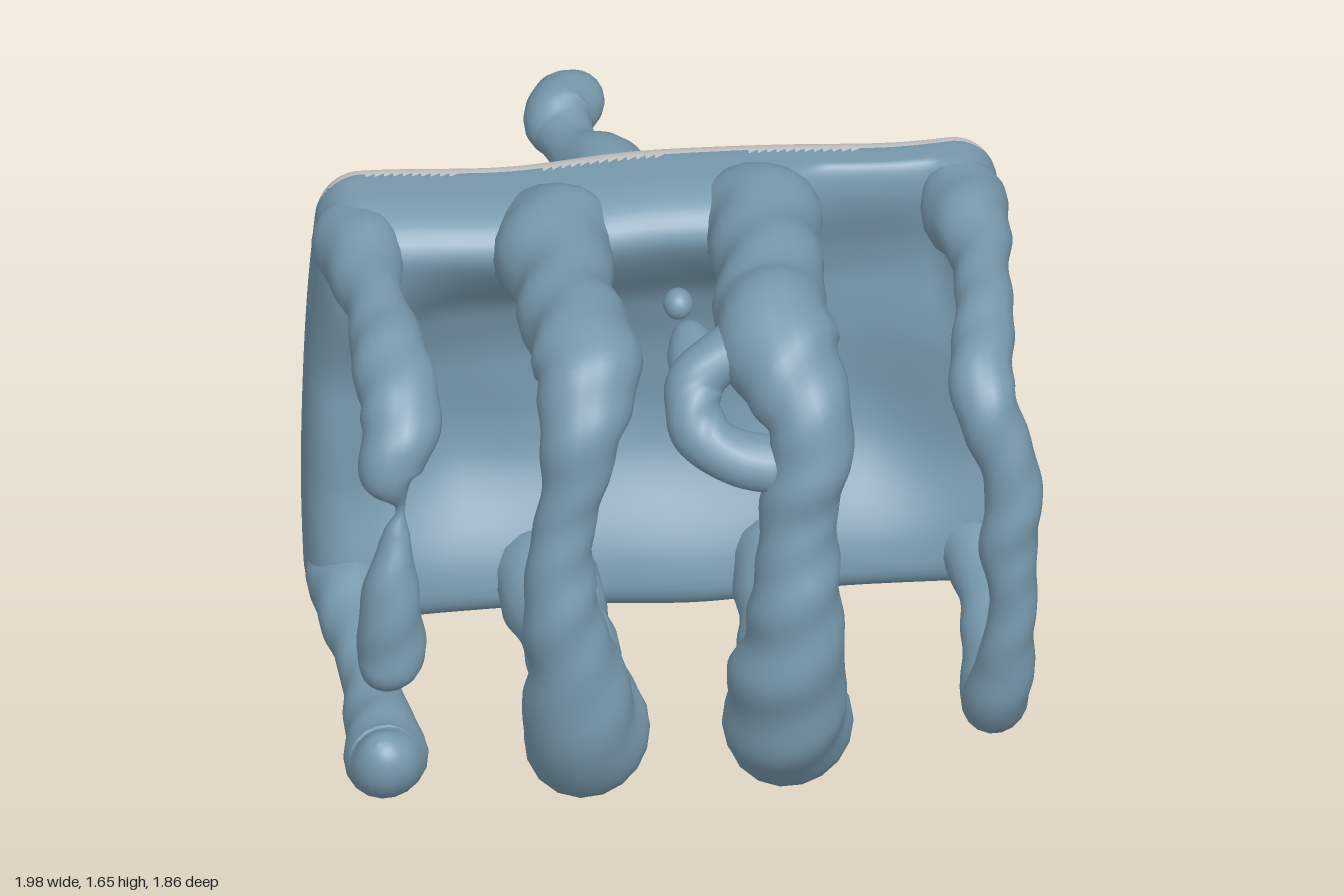
import * as THREE from 'three';
import { mergeVertices } from 'three/addons/utils/BufferGeometryUtils.js';

const { clamp, smoothstep } = THREE.MathUtils;
const blue = new THREE.MeshStandardMaterial({ color: 0x7799ac });
const grey = new THREE.MeshStandardMaterial({ color: 0xcccccc });

// Gentle lumps, so surfaces look hand-modelled
const lump = (p, a) => 1 + 0.035 * Math.sin(p.x * 17 + p.y * 21 + p.z * 19 + a) + 0.035 * Math.sin(p.y * 33 - p.z * 29 + 2 * a);

// Round-ended limb through rows of [x, y, z, radius]
function limb(name, rows, ref = new THREE.Vector3(1, 0, 0)) {
  const path = new THREE.CatmullRomCurve3(rows.map(([x, y, z]) => new THREE.Vector3(x, y, z)));
  const size = new THREE.CatmullRomCurve3(rows.map((r, i) => new THREE.Vector3(r[3], i, 0)));
  const n = rows.length * 14, sides = 18, pos = [], index = [];
  const first = path.getPoint(0), last = path.getPoint(1);
  for (let i = 0; i <= n; i++) {
    // denser rings towards both ends
    const u = i / n, t = 0.6 * u + 0.4 * (0.5 - 0.5 * Math.cos(Math.PI * u));
    const p = path.getPoint(t), T = path.getTangent(t);
    const S = ref.clone().addScaledVector(T, -ref.dot(T)).normalize();
    const U = T.clone().cross(S);
    const r = Math.max(size.getPoint(t).x, 0.008);
    const e = Math.min(1, Math.min(p.distanceTo(first), p.distanceTo(last)) / r);
    const round = Math.sqrt(1 - (1 - e) ** 2);
    for (let j = 0; j < sides; j++) {
      const a = j / sides * Math.PI * 2;
      const k = r * round * lump(p, a);
      const v = p.clone().addScaledVector(S, k * Math.cos(a)).addScaledVector(U, k * Math.sin(a));
      pos.push(v.x, v.y, v.z);
      if (i < n) {
        const b = i * sides, c = b + sides, j2 = (j + 1) % sides;
        index.push(b + j, b + j2, c + j2, b + j, c + j2, c + j);
      }
    }
  }
  const g = new THREE.BufferGeometry();
  g.setAttribute('position', new THREE.Float32BufferAttribute(pos, 3));
  g.setIndex(index);
  g.computeVertexNormals();
  const mesh = new THREE.Mesh(g, blue);
  mesh.name = name;
  return mesh;
}

// Soft-edged panel with a shallow bowl at the front and a swollen lower back
function panel() {
  const W = 0.96, H = 0.7, D = 0.15, R = 0.12;
  let g = new THREE.BoxGeometry(2 * W, 2 * H, 2 * D, 72, 52, 16);
  g.deleteAttribute('uv');
  g.deleteAttribute('normal');
  g = mergeVertices(g);
  const p = g.attributes.position, v = new THREE.Vector3(), c = new THREE.Vector3();
  for (let i = 0; i < p.count; i++) {
    v.fromBufferAttribute(p, i);
    c.set(clamp(v.x, R - W, W - R), clamp(v.y, R - H, H - R), clamp(v.z, R - D, D - R));
    v.sub(c).setLength(R).add(c);
    const xn = v.x / W, yn = v.y / H, across = 1 - xn * xn;
    if (v.z > 0) {
      const bowl = smoothstep(1 - Math.abs(xn), 0.02, 0.45)
        * smoothstep(1 - yn, 0.12, 0.6) * smoothstep(1 + yn, 0.05, 0.9);
      const notch = smoothstep(xn, 0.3, 0.5) * (1 - smoothstep(xn, 0.8, 0.95));
      const topLip = smoothstep(yn, 0.1, 0.65) * (0.08 - 0.18 * notch);
      const bottomLip = 0.05 * smoothstep(-yn, 0.3, 0.75);
      v.z += (v.z / D) * (topLip + bottomLip - bowl * (0.15 - 0.08 * notch * smoothstep(yn, 0.1, 0.65)));
    } else {
      const swell = 0.03 * (1 - yn ** 4) + 0.075 * Math.exp(-(((yn + 0.62) / 0.33) ** 2));
      v.z += (v.z / D) * across * (0.012 + swell);
    }
    v.x *= 1.03 - 0.02 * yn - 0.03 * yn * yn;
    v.y += 0.012 * Math.sin(v.x * 6 + 1) * yn;
    v.z += 0.004 * Math.sin(v.x * 11 + v.y * 9);
    p.setXYZ(i, v.x, v.y + 0.82, v.z - 0.278);
  }
  g.computeVertexNormals();
  // Divide into a blue front shell and a grey back face that laps over the top
  const ix = g.index.array, front = [], back = [];
  for (let i = 0; i < ix.length; i += 3) {
    const tri = [ix[i], ix[i + 1], ix[i + 2]];
    const z = tri.reduce((s, k) => s + p.getZ(k) / 3, 0);
    const limit = p.getY(tri[0]) > 1.44 ? -0.33 : -0.405;
    (z < limit ? back : front).push(...tri);
  }
  const group = new THREE.Group();
  group.name = 'panel';
  for (const [name, list, mat] of [['panelFront', front, blue], ['panelBack', back, grey]]) {
    const part = g.clone();
    part.clearGroups();
    part.setIndex(list);
    const mesh = new THREE.Mesh(part, mat);
    mesh.name = name;
    group.add(mesh);
  }
  return group;
}

function blob(name, x, y, z, rx, ry, rz) {
  const mesh = new THREE.Mesh(new THREE.SphereGeometry(1, 18, 12), blue);
  mesh.name = name;
  mesh.position.set(x, y, z);
  mesh.scale.set(rx, ry, rz);
  return mesh;
}

export function createModel() {
  const model = new THREE.Group();
  model.add(panel());

  // Thin outer loop on the left
  model.add(limb('leftOuterLoop', [
    [0.84, 1.4, -0.33, 0.1], [0.85, 1.41, -0.12, 0.12], [0.86, 1.44, 0.15, 0.08], [0.83, 1.44, 0.48, 0.085],
    [0.81, 1.37, 0.67, 0.09], [0.88, 1.12, 0.74, 0.08], [0.87, 0.88, 0.76, 0.08], [0.88, 0.72, 0.77, 0.065],
    [0.86, 0.5, 0.75, 0.08], [0.84, 0.32, 0.67, 0.095], [0.85, 0.24, 0.45, 0.08], [0.88, 0.24, 0.1, 0.075],
    [0.88, 0.27, -0.13, 0.11], [0.86, 0.28, -0.32, 0.1]]));

  // Thick inner loops
  model.add(limb('leftInnerLoop', [
    [0.27, 1.38, -0.32, 0.13], [0.27, 1.42, -0.14, 0.17], [0.27, 1.46, 0.1, 0.15], [0.25, 1.48, 0.35, 0.155],
    [0.25, 1.47, 0.55, 0.165], [0.32, 1.32, 0.71, 0.12], [0.28, 1.03, 0.76, 0.11], [0.27, 0.72, 0.79, 0.135],
    [0.25, 0.42, 0.72, 0.17], [0.27, 0.22, 0.59, 0.175], [0.28, 0.16, 0.38, 0.15], [0.32, 0.21, 0.1, 0.13],
    [0.34, 0.26, -0.12, 0.15], [0.35, 0.3, -0.3, 0.13]]));
  model.add(limb('rightInnerLoop', [
    [-0.31, 1.36, -0.32, 0.13], [-0.31, 1.39, -0.13, 0.18], [-0.31, 1.43, 0.1, 0.14], [-0.3, 1.45, 0.35, 0.145],
    [-0.28, 1.46, 0.55, 0.15], [-0.32, 1.33, 0.7, 0.115], [-0.36, 1.12, 0.74, 0.085], [-0.39, 0.88, 0.77, 0.1],
    [-0.35, 0.6, 0.76, 0.13], [-0.31, 0.32, 0.68, 0.175], [-0.27, 0.19, 0.5, 0.165], [-0.27, 0.18, 0.32, 0.14],
    [-0.3, 0.22, 0.08, 0.13], [-0.32, 0.26, -0.12, 0.15], [-0.32, 0.3, -0.3, 0.13]]));

  // Broken outer loop on the right: upper arm with a hanging drop, and lower arm
  model.add(limb('rightUpperArm', [
    [-0.85, 1.4, -0.33, 0.1], [-0.85, 1.41, -0.12, 0.12], [-0.84, 1.44, 0.15, 0.085], [-0.82, 1.43, 0.42, 0.11],
    [-0.82, 1.36, 0.63, 0.11], [-0.86, 1.25, 0.72, 0.08], [-0.83, 1.16, 0.74, 0.015], [-0.84, 1.08, 0.75, 0.035],
    [-0.86, 0.92, 0.77, 0.075], [-0.86, 0.72, 0.77, 0.095], [-0.88, 0.57, 0.77, 0.08]]));
  model.add(limb('rightLowerArm', [
    [-0.87, 0.28, -0.32, 0.1], [-0.88, 0.26, -0.12, 0.11], [-0.87, 0.24, 0.15, 0.08], [-0.86, 0.23, 0.42, 0.09],
    [-0.86, 0.24, 0.62, 0.115], [-0.87, 0.29, 0.74, 0.1], [-0.9, 0.39, 0.79, 0.06]]));

  // Chunky eyelet beside the left inner loop, with loose bead and nub
  model.add(limb('eyelet', [
    [0.24, 1.48, 0.52, 0.1], [0.11, 1.46, 0.53, 0.08], [0.01, 1.39, 0.57, 0.08], [0.02, 1.28, 0.65, 0.08],
    [0.12, 1.22, 0.7, 0.08], [0.28, 1.2, 0.73, 0.08]], new THREE.Vector3(0, 0, 1)));
  model.add(limb('eyeletSpur', [
    [0.02, 1.36, 0.6, 0.07], [0.02, 1.4, 0.45, 0.07], [0.02, 1.42, 0.33, 0.045]]));
  model.add(blob('looseBead', 0.01, 1.38, 0.17, 0.042, 0.045, 0.045));
  model.add(blob('innerNub', -0.37, 0.77, 0.69, 0.06, 0.07, 0.06));

  // Peg sticking out of the back
  model.add(limb('backPeg', [
    [-0.1, 1.36, -0.3, 0.14], [-0.12, 1.36, -0.46, 0.13], [-0.19, 1.355, -0.6, 0.08], [-0.21, 1.355, -0.7, 0.08],
    [-0.22, 1.36, -0.77, 0.1], [-0.17, 1.365, -0.86, 0.09], [-0.14, 1.37, -0.93, 0.07]]));
  return model;
}
